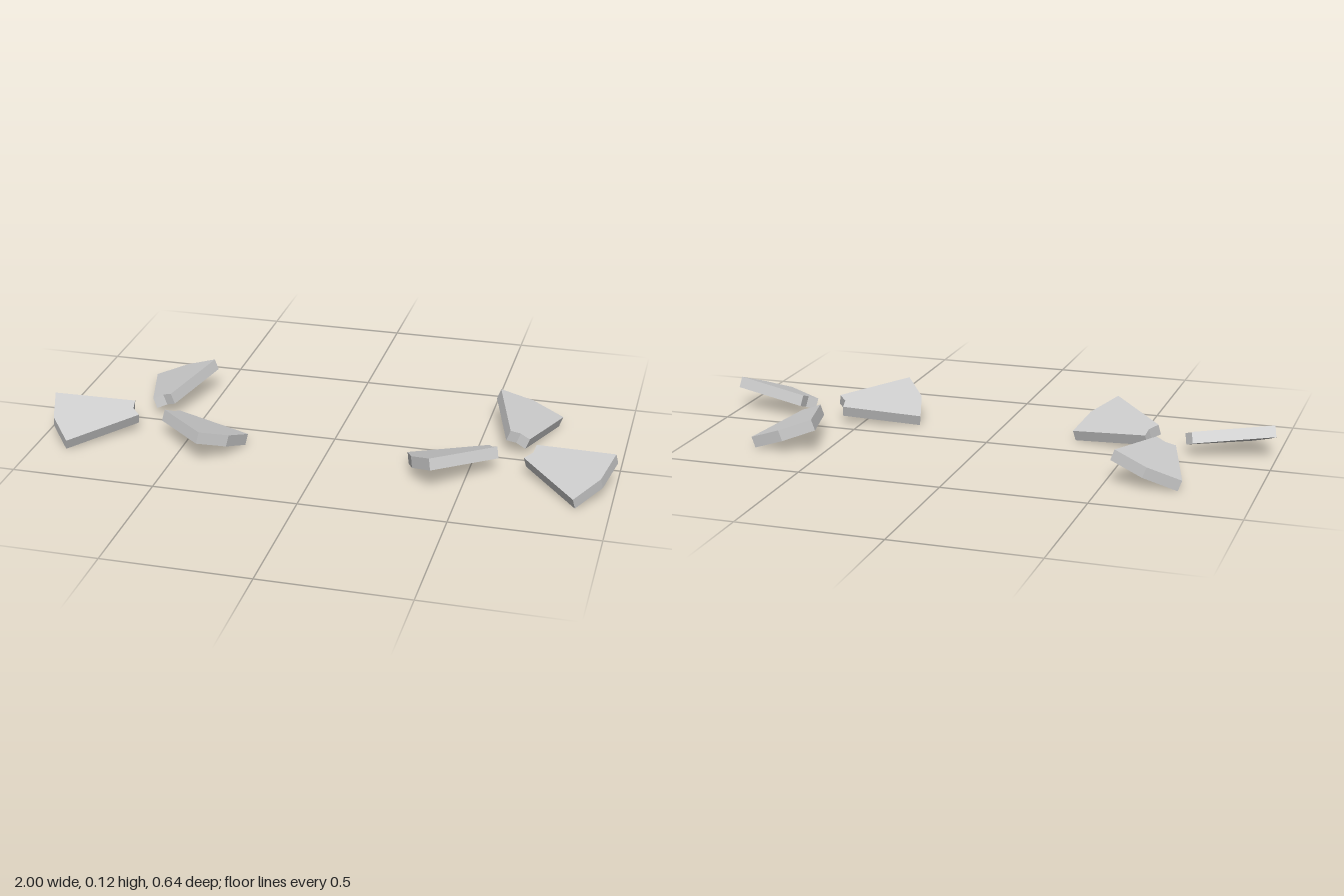
import * as THREE from 'three';

const PITCH = THREE.MathUtils.degToRad(20.3);
const THICKNESS = 0.04;

// Tapered blade: faceted outer arc, notched root, pitched about its long axis
function bladeGeometry(pitch) {
  const outline = [
    [-0.036, 0.073], [0, 0.086], [0.036, 0.073],
    [0.121, 0.343], [0, 0.368], [-0.121, 0.343],
  ].map(([x, y]) => new THREE.Vector2(x, y));
  const geometry = new THREE.ExtrudeGeometry(new THREE.Shape(outline), {
    depth: THICKNESS, bevelEnabled: false,
  });
  geometry.translate(0, 0, -THICKNESS / 2);
  geometry.rotateX(-Math.PI / 2);
  geometry.rotateZ(pitch);
  return geometry;
}

// Three blades evenly spaced round an open centre
function createFan(name, x, pitch, material) {
  const fan = new THREE.Group();
  fan.name = name;
  const geometry = bladeGeometry(pitch);
  for (let i = 0; i < 3; i++) {
    const blade = new THREE.Mesh(geometry, material);
    blade.name = `blade${i + 1}`;
    blade.rotation.y = (i * Math.PI * 2) / 3;
    fan.add(blade);
  }
  fan.position.set(x, 0.061, 0.043);
  return fan;
}

export function createModel() {
  const model = new THREE.Group();
  model.name = 'twinFans';
  const material = new THREE.MeshStandardMaterial({ color: 0xcccccc, flatShading: true });
  // Mirrored pair, pitched in opposite directions
  model.add(createFan('leftFan', 0.642, -PITCH, material));
  model.add(createFan('rightFan', -0.642, PITCH, material));
  return model;
}
